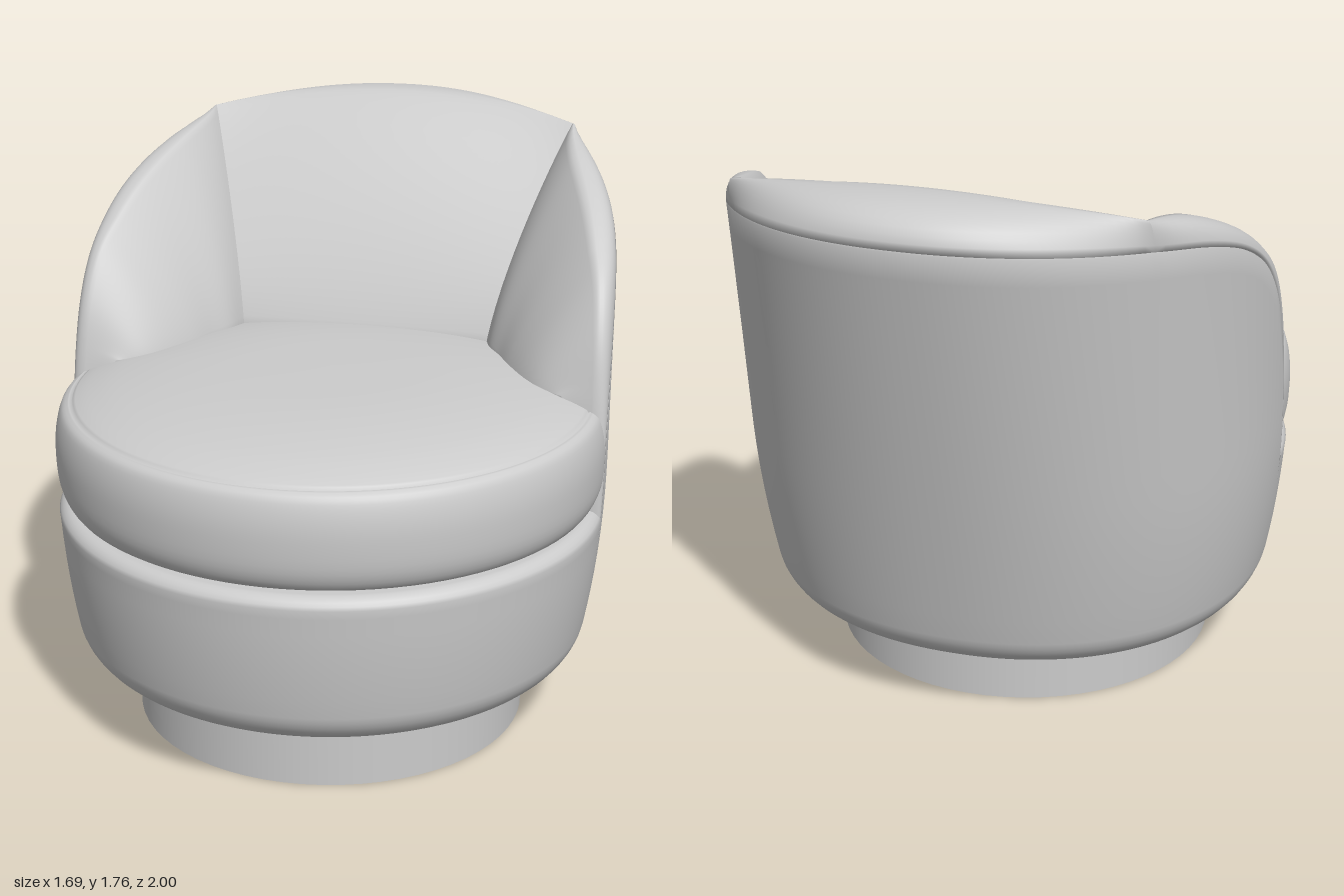
import * as THREE from 'three';

const CZ = 0.155;               // z of the seat's centre, where front and back halves meet
const N = 2.15;                 // squareness of the shell's plan
const FLOOR = 0.215;            // underside of the upholstery
const lerp = THREE.MathUtils.lerp;
const V = (x, y, z) => new THREE.Vector3(x, y, z);
const material = new THREE.MeshStandardMaterial({ color: 0xcccccc, roughness: 0.8, side: THREE.DoubleSide });

function mesh(name, geometry) {
  const m = new THREE.Mesh(geometry, material);
  m.name = name;
  return m;
}

// Smooth sheet through point(i, j); flip turns it inside out for mirrored parts
function sheet(nu, nv, point, flip = false) {
  const pos = [], index = [];
  for (let i = 0; i <= nu; i++) for (let j = 0; j <= nv; j++) pos.push(...point(i, j).toArray());
  for (let i = 0; i < nu; i++) for (let j = 0; j < nv; j++) {
    const a = i * (nv + 1) + j, b = a + nv + 1;
    if (flip) index.push(a, a + 1, b, b, a + 1, b + 1);
    else index.push(a, b, a + 1, b, b + 1, a + 1);
  }
  const g = new THREE.BufferGeometry();
  g.setAttribute('position', new THREE.Float32BufferAttribute(pos, 3));
  g.setIndex(index);
  g.computeVertexNormals();
  return g;
}

// Half width and depth of the body at height y, with a rounded lower edge
const roundOff = y => (y < 0.315 ? 0.9 + 0.1 * Math.sqrt(Math.max(0, 1 - ((0.315 - y) / 0.1) ** 2)) : 1);
const width = y => 0.775 + 0.067 * (1 - (1 - Math.min(1, (y - FLOOR) / 0.6)) ** 2);
const depth = y => 0.785 + 0.258 * (y - FLOOR);
const UNDER = [[0, 0.235], [0.93, 0.235], [0.95, FLOOR]];   // recessed underside: scale, height

// Point on the outer shell at plan angle a (0 = left front, PI = right front)
function outer(a, y, scale = 1) {
  const c = Math.cos(a), s = Math.max(0, Math.sin(a)), f = roundOff(y) * scale;
  return V(Math.sign(c) * width(y) * f * Math.abs(c) ** (2 / N), y, CZ - depth(y) * f * s ** (2 / N));
}

// Arm stations from front to back corner: outer seam, crest, and foot at the seat
const spline = pts => new THREE.CatmullRomCurve3(pts.map(p => V(...p)));
const seamCurve = spline([[0, 0.6, 0.155], [0, 0.85, 0.14], [0, 1.02, 0.11], [0, 1.18, 0.05], [0, 1.31, -0.03],
  [0, 1.42, -0.14], [0, 1.5, -0.28], [0, 1.56, -0.46], [0, 1.6, -0.66]]);
const crestCurve = spline([[0, 0.6, 0.17], [0, 0.85, 0.165], [0, 1.06, 0.14], [0, 1.23, 0.095], [0, 1.36, 0.02],
  [0, 1.45, -0.08], [0, 1.555, -0.24], [0, 1.64, -0.44], [0, 1.695, -0.68]]);
const footCurve = spline([[0.81, 0, 0.17], [0.78, 0, 0.16], [0.7, 0, 0.13], [0.62, 0, 0.09], [0.56, 0, 0.03],
  [0.5, 0, -0.06], [0.46, 0, -0.14], [0.42, 0, -0.21], [0.4, 0, -0.28]]);

function armSeam(t) {
  const p = seamCurve.getPoint(t);
  const s = THREE.MathUtils.clamp((CZ - p.z) / depth(p.y), 0, 1) ** (N / 2);
  return { a: Math.asin(s), y: p.y };
}
const CORNER = armSeam(1).a;

// Seam along the whole shell: s 0..1 left arm, 1..2 back, 2..3 right arm
function seam(s) {
  if (s < 1) return armSeam(s);
  if (s > 2) { const m = armSeam(3 - s); return { a: Math.PI - m.a, y: m.y }; }
  const k = 3 - 2 * s;
  return { a: lerp(CORNER, Math.PI - CORNER, s - 1), y: 1.65 - 0.05 * k * k };
}

// Padded section: tucked seam, roll over the crest, then down the inner face to the foot
const ROLL = 10, FACE = 18;
function padPoint(j, S, crest, foot, k2) {
  if (j === 0) return V(S.x * 0.975, S.y - 0.01, CZ + (S.z - CZ) * 0.975);
  if (j <= ROLL) {
    const mid = V(S.x, crest.y, lerp(S.z, crest.z, k2));
    return new THREE.QuadraticBezierCurve3(S, mid, crest).getPoint((j - 1) / (ROLL - 1));
  }
  if (j > ROLL + FACE) return V(foot.x, Math.min(0.85, foot.y), foot.z);
  const at = (plan, h) => V(lerp(crest.x, foot.x, plan), lerp(foot.y, crest.y, h), lerp(crest.z, foot.z, plan));
  return new THREE.CubicBezierCurve3(crest, at(0.3, 1 - 0.2 * k2), at(0.85, 0.35), foot).getPoint((j - ROLL) / FACE);
}

function armPad(side) {
  const n = 48;
  return sheet(n, ROLL + FACE + 1, (i, j) => {
    const t = i / n, { a, y } = armSeam(t), S = outer(a, y);
    const crest = crestCurve.getPoint(t), foot = footCurve.getPoint(t);
    crest.x = lerp(S.x - 0.04, 0.6, t ** 4);
    foot.y = Math.min(1.05, crest.y);
    const p = padPoint(j, S, crest, foot, 1);
    p.x *= side;
    return p;
  }, side < 0);
}

function backPad() {
  const n = 48;
  return sheet(n, ROLL + FACE + 1, (i, j) => {
    const k = 1 - 2 * i / n, k2 = k * k, { a, y } = seam(1 + i / n);
    const crest = V(0.6 * k, 1.76 - 0.065 * k2, -0.8 + 0.12 * k2);
    return padPoint(j, outer(a, y), crest, V(0.4 * k, 1.05, -0.28), k2);
  });
}

// Outer wrap: underside, rounded lower edge, wall, tucked top edge
function shell() {
  const n = 144, edge = 8, wall = 16, u = UNDER.length;
  return sheet(n, u + edge + wall + 1, (i, j) => {
    const { a, y: top } = seam(3 * i / n);
    if (j < u) {
      const p = outer(a, FLOOR, UNDER[j][0]);
      p.y = UNDER[j][1];
      return p;
    }
    j -= u;
    if (j < edge) return outer(a, 0.315 - 0.1 * Math.cos(j / edge * Math.PI / 2));
    j -= edge;
    if (j > wall) return outer(a, top + 0.002, 0.975);
    return outer(a, lerp(0.315, top - 0.006, j / wall));
  });
}

// Front half of the upholstered base, matching the shell at its sides
function frontBase() {
  const pts = UNDER.map(([f, y]) => new THREE.Vector2(width(FLOOR) * 0.9 * f, y));
  for (let i = 0; i <= 8; i++) {
    const y = 0.315 - 0.1 * Math.cos(i / 8 * Math.PI / 2);
    pts.push(new THREE.Vector2(width(y) * roundOff(y), y));
  }
  for (let y = 0.37; y < 0.66; y += 0.055) pts.push(new THREE.Vector2(width(y), y));
  for (let i = 1; i <= 6; i++) {
    const q = i / 6 * Math.PI / 2;
    pts.push(new THREE.Vector2(0.795 + 0.046 * Math.cos(q), 0.66 + 0.046 * Math.sin(q)));
  }
  pts.push(new THREE.Vector2(0, 0.706));
  return new THREE.LatheGeometry(pts, 64, -Math.PI / 2, Math.PI);
}

// Domed round seat; its rear half shrinks to stay inside the shell
function seatCushion() {
  const curve = (list, n) => new THREE.SplineCurve(list.map(p => new THREE.Vector2(...p))).getPoints(n);
  const g = new THREE.LatheGeometry([
    new THREE.Vector2(0, 0.712),
    ...curve([[0.77, 0.712], [0.81, 0.725], [0.836, 0.78], [0.843, 0.87], [0.838, 0.94], [0.822, 0.995], [0.798, 1.014]], 24),
    new THREE.Vector2(0.79, 1.011),
    ...curve([[0.785, 1.02], [0.74, 1.038], [0.65, 1.062], [0.5, 1.084], [0.3, 1.097], [0, 1.1]], 20),
  ], 96);
  const p = g.attributes.position;
  for (let i = 0; i < p.count; i++) {
    const f = 1 - 0.06 * THREE.MathUtils.clamp(-p.getZ(i) / 0.1, 0, 1);
    p.setX(i, p.getX(i) * f);
    p.setZ(i, p.getZ(i) * f);
  }
  return g;
}

export function createModel() {
  const chair = new THREE.Group();
  chair.name = 'swivelTubChair';

  const plinth = mesh('plinth', new THREE.CylinderGeometry(0.605, 0.605, 0.203, 64));
  plinth.position.set(0, 0.1015, 0.165);
  const base = mesh('frontBase', frontBase());
  const seat = mesh('seatCushion', seatCushion());
  base.position.z = seat.position.z = CZ;

  chair.add(plinth, base, seat, mesh('outerShell', shell()), mesh('backPad', backPad()),
    mesh('leftArmPad', armPad(1)), mesh('rightArmPad', armPad(-1)));
  return chair;
}
